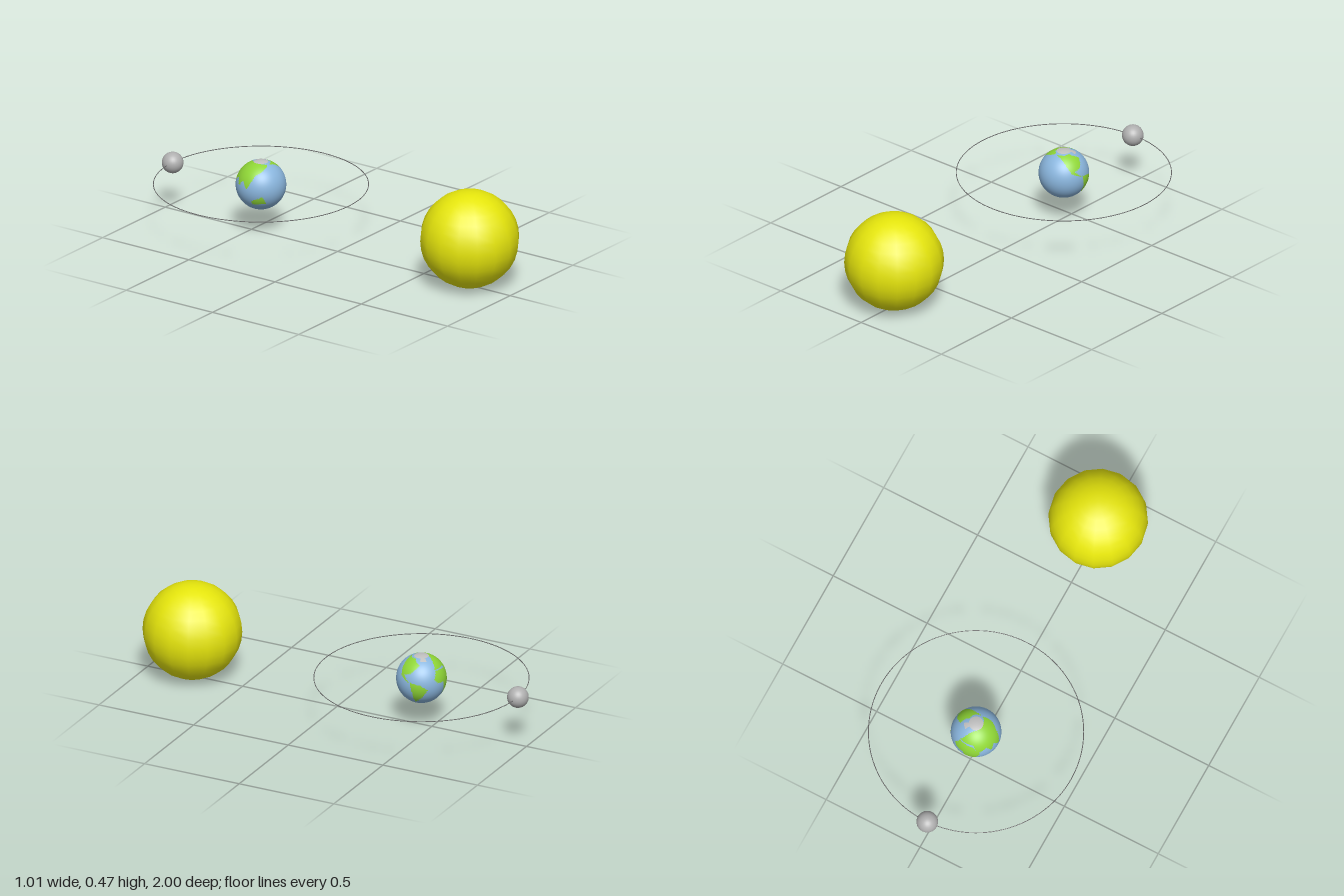
import * as THREE from 'three';

const mat = (name, color) => Object.assign(new THREE.MeshStandardMaterial({ color }), { name });

// Coarse land outlines as [longitude, latitude] in degrees
const northWest = [[-168, 66], [-140, 60], [-124, 48], [-106, 21], [-80, 8], [-97, 24], [-80, 30],
  [-56, 52], [-90, 70]];
const southWest = [[-78, 10], [-52, 5], [-35, -7], [-48, -28], [-70, -52], [-71, -20]];
const southEast = [[-17, 15], [-8, 35], [32, 31], [51, 11], [38, -18], [20, -35], [9, 4], [-8, 5]];
const northEast = [[-9, 37], [6, 62], [25, 71], [110, 75], [179, 68], [122, 38], [104, 4], [90, 22],
  [78, 8], [68, 24], [46, 13], [34, 36]];
const island = [[114, -24], [142, -11], [153, -30], [116, -35]];
const LANDS = [northWest, southWest, southEast, northEast, island];
const LON_SHIFT = 167; // turns the outlines into angles from +z towards +x

function inside(px, py, poly) {
  let hit = false;
  for (let i = 0, j = poly.length - 1; i < poly.length; j = i++) {
    const [xi, yi] = poly[i], [xj, yj] = poly[j];
    if ((yi > py) !== (yj > py) && px < ((xj - xi) * (py - yi)) / (yj - yi) + xi) hit = !hit;
  }
  return hit;
}

// 0 sea, 1 land, 2 north ice, 3 south ground
function region(p) {
  const lat = THREE.MathUtils.radToDeg(Math.asin(p.y / p.length()));
  const lon = THREE.MathUtils.euclideanModulo(
    THREE.MathUtils.radToDeg(Math.atan2(p.x, p.z)) - LON_SHIFT + 180, 360) - 180;
  if (lat < -72) return 3;
  if (lat > 74 || (lat > 62 && lon > -56 && lon < -22)) return 2;
  return LANDS.some((poly) => inside(lon, lat, poly)) ? 1 : 0;
}

// Sphere whose triangles are sorted into one material group per region
function planetGeometry(radius) {
  const geo = new THREE.SphereGeometry(radius, 128, 64);
  const pos = geo.attributes.position, idx = geo.index;
  const sets = [[], [], [], []];
  const c = new THREE.Vector3(), v = new THREE.Vector3();
  for (let i = 0; i < idx.count; i += 3) {
    const tri = [0, 1, 2].map((k) => idx.getX(i + k));
    c.set(0, 0, 0);
    tri.forEach((k) => c.add(v.fromBufferAttribute(pos, k)));
    sets[region(c)].push(...tri);
  }
  geo.setIndex(sets.flat());
  geo.clearGroups();
  let start = 0;
  sets.forEach((s, m) => {
    geo.addGroup(start, s.length, m);
    start += s.length;
  });
  return geo;
}

export function createModel() {
  const root = new THREE.Group();
  root.name = 'planetSystem';

  const sunYellow = mat('sunYellow', 0xe6e60c);
  const sea = mat('seaBlue', 0x8ab6de);
  const land = mat('landGreen', 0x8fd636);
  const ice = mat('iceGrey', 0xc0c0c0);
  const southGround = mat('southTan', 0xb09484);
  const moonGrey = mat('moonGrey', 0xb0b0b0);
  const orbitGrey = mat('orbitGrey', 0x707070);

  const add = (name, geo, material, x, y, z) => {
    const mesh = new THREE.Mesh(geo, material);
    mesh.name = name;
    mesh.position.set(x, y, z);
    root.add(mesh);
    return mesh;
  };

  const orbitY = 0.239, planetZ = -0.445;
  add('sun', new THREE.SphereGeometry(0.235, 16, 16), sunYellow, 0, 0.235, 0.765);
  add('planet', planetGeometry(0.119), [sea, land, ice, southGround], 0, orbitY, planetZ);
  add('moon', new THREE.SphereGeometry(0.051, 32, 20), moonGrey, -0.011, orbitY, -0.949);

  // Thin orbit line around the planet
  const orbit = add('orbitRing', new THREE.TorusGeometry(0.505, 0.002, 6, 128), orbitGrey, 0, orbitY, planetZ);
  orbit.rotation.x = Math.PI / 2;

  return root;
}
